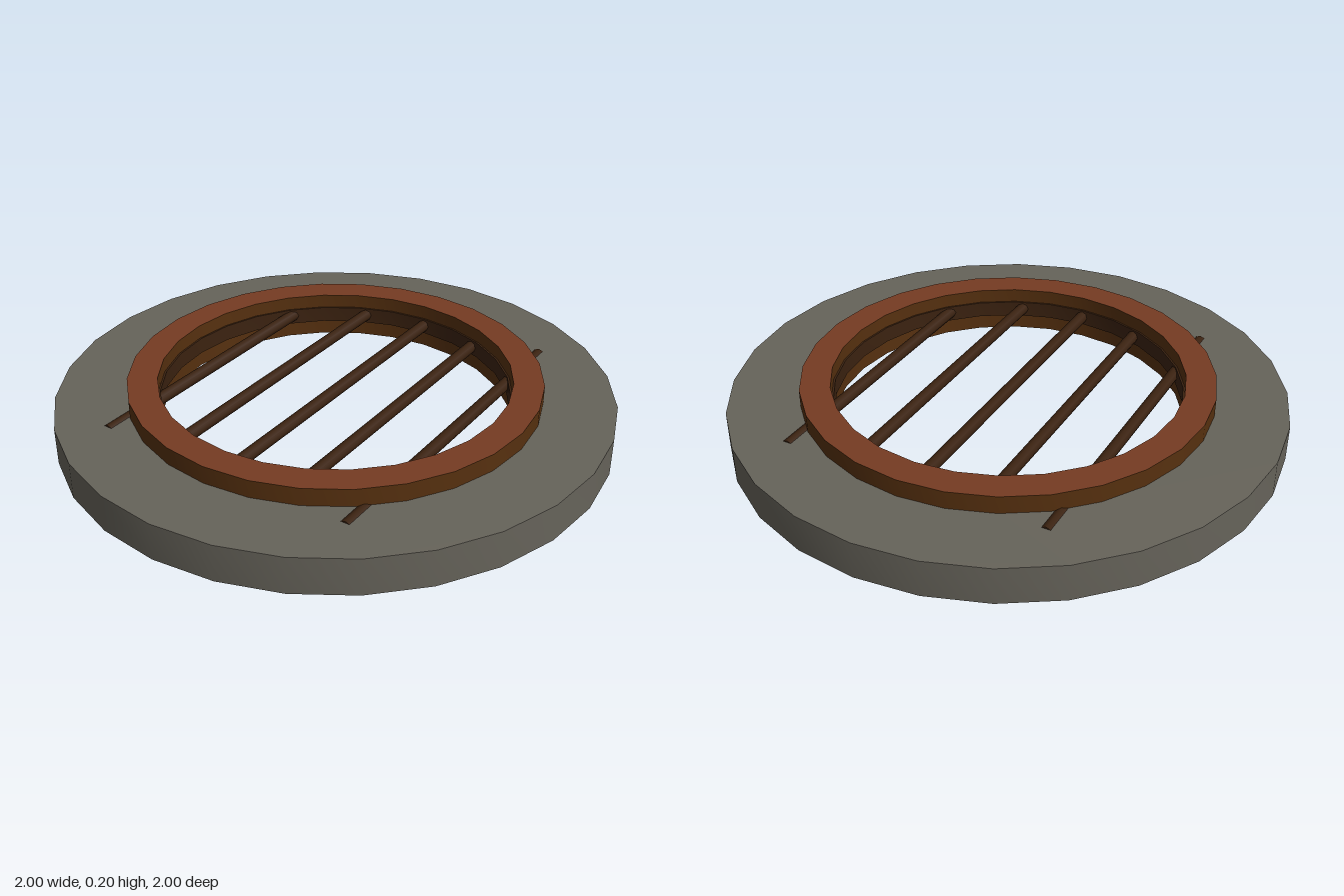
import * as THREE from 'three';
import { toCreasedNormals } from 'three/addons/utils/BufferGeometryUtils.js';

const SIDES = 28;

const material = (name, color) => {
  const m = new THREE.MeshStandardMaterial({ color });
  m.name = name;
  return m;
};

// Regular polygon outline with a corner on each axis
function outline(radius, Type) {
  const points = [];
  for (let i = 0; i < SIDES; i++) {
    const a = (i / SIDES) * Math.PI * 2;
    points.push(new THREE.Vector2(Math.cos(a) * radius, Math.sin(a) * radius));
  }
  return new Type(points);
}

// Flat ring lying on the ground plane, from height y0 to y1
function ringGeometry(outer, inner, y0, y1) {
  const shape = outline(outer, THREE.Shape);
  shape.holes.push(outline(inner, THREE.Path));
  const geometry = new THREE.ExtrudeGeometry(shape, { depth: y1 - y0, bevelEnabled: false });
  geometry.rotateX(-Math.PI / 2);
  geometry.translate(0, y0, 0);
  return toCreasedNormals(geometry, 0.5);
}

export function createModel() {
  const group = new THREE.Group();
  group.name = 'roundGrate';

  const stone = material('stone', 0x66635a);
  const rust = material('rust', 0x763b22);
  const brown = material('brownMetal', 0x56300f);
  const dark = material('darkIron', 0x3b2210);

  const add = (name, geometry, mat) => {
    const mesh = new THREE.Mesh(geometry, mat);
    mesh.name = name;
    group.add(mesh);
    return mesh;
  };

  // Stone surround
  add('stoneSurround', ringGeometry(1, 0.726, 0, 0.135), stone);

  // Metal frame with a rusty top face
  add('metalFrame', ringGeometry(0.742, 0.634, 0.03, 0.199), brown);
  const top = new THREE.RingGeometry(0.634, 0.742, SIDES, 1);
  top.rotateX(-Math.PI / 2);
  top.translate(0, 0.2, 0);
  add('rustyFrameTop', top, rust);

  // Narrow hoop that holds the bars
  add('innerHoop', ringGeometry(0.64, 0.627, 0.087, 0.147), dark);

  // Parallel bars running front to back
  for (let i = -2; i <= 2; i++) {
    const bar = new THREE.CylinderGeometry(0.0225, 0.0225, 1.33, 8);
    bar.rotateX(Math.PI / 2);
    bar.translate(i * 0.243, 0.119, 0);
    add('bar' + (i + 3), bar, dark);
  }

  return group;
}
